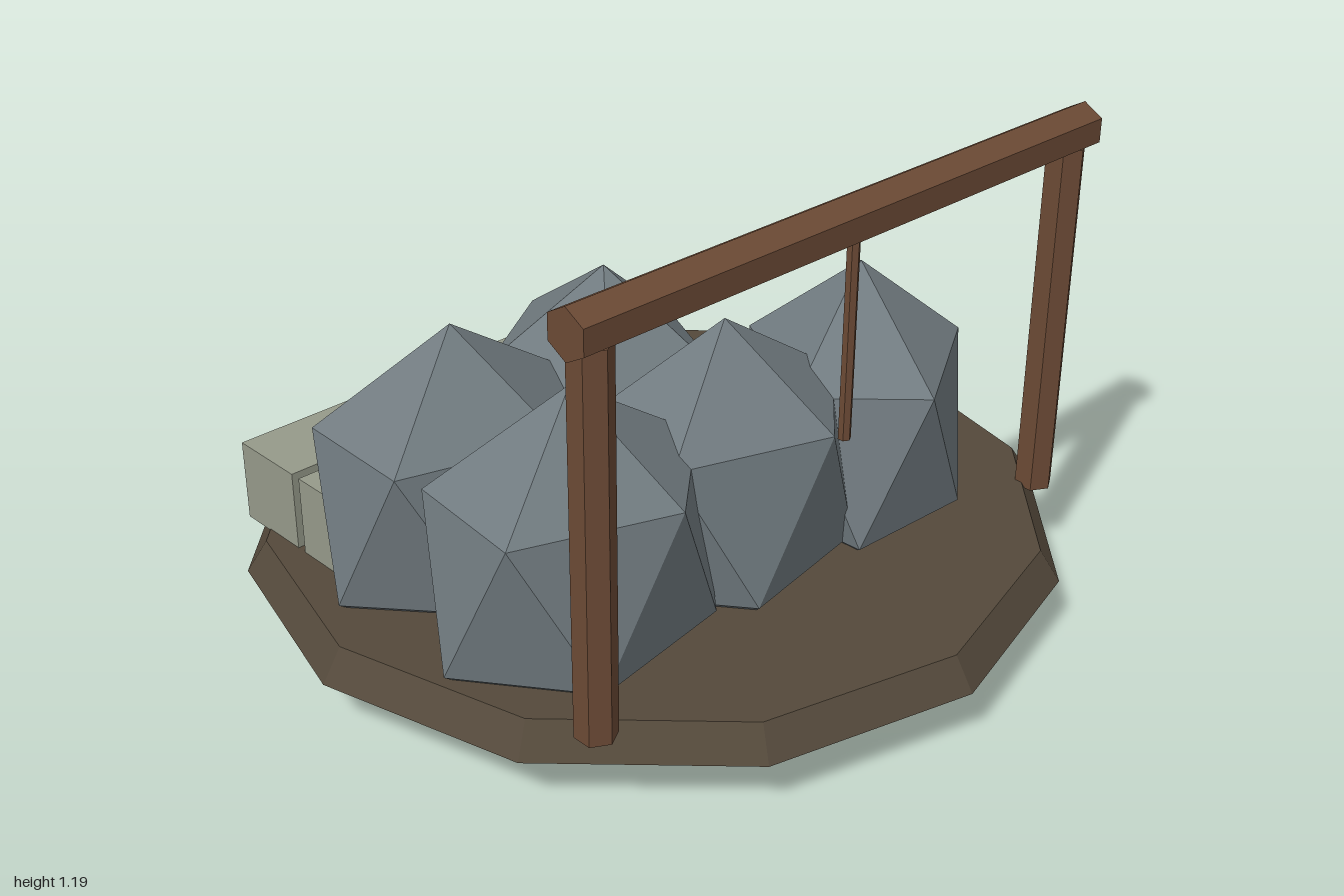
import * as THREE from 'three';

const mat = (name, color) => {
  const m = new THREE.MeshStandardMaterial({ color });
  m.name = name;
  return m;
};

// Faceted cylinder with hard edges
function facetedCylinder(top, bottom, height, sides) {
  const g = new THREE.CylinderGeometry(top, bottom, height, sides).toNonIndexed();
  g.computeVertexNormals();
  return g;
}

export function createModel() {
  const model = new THREE.Group();
  model.name = 'stoneYard';
  const earth = mat('earth brown', 0x54493b);
  const wood = mat('timber brown', 0x6b4a35);
  const stone = mat('boulder grey', 0x717b80);
  const cut = mat('cut stone', 0x969a8a);

  const add = (name, geometry, material, x, y, z, parent = model) => {
    const mesh = new THREE.Mesh(geometry, material);
    mesh.name = name;
    mesh.position.set(x, y, z);
    parent.add(mesh);
    return mesh;
  };

  // Twelve-sided ground disc with a bevelled rim
  add('ground', facetedCylinder(0.95, 1, 0.077, 12), earth, 0, 0.1735, 0);

  // Boulders: icosahedra standing on a point, stretched along one axis
  const rock = new THREE.IcosahedronGeometry(1, 0);
  rock.rotateZ(Math.atan(2 / (1 + Math.sqrt(5))));
  rock.rotateY(Math.PI);
  rock.scale(0.381, 0.41, 0.302);
  const boulders = new THREE.Group();
  boulders.name = 'boulders';
  model.add(boulders);
  [
    [-0.53, 0.3, -6], [-0.07, 0.3, -5], [0.39, 0.3, 45],
    [-0.53, -0.1, -2], [-0.07, -0.1, 80],
  ].forEach(([x, z, turn]) => {
    add('boulder', rock, stone, x, 0.41, z, boulders).rotation.y = THREE.MathUtils.degToRad(turn);
  });

  // Two rows of cut blocks at the back
  const block = new THREE.BoxGeometry(0.325, 0.205, 0.208);
  const blocks = new THREE.Group();
  blocks.name = 'cutBlocks';
  model.add(blocks);
  for (const z of [-0.5, -0.265]) {
    for (const x of [-0.622, -0.232, 0.158]) add('cutBlock', block, cut, x, 0.31, z, blocks);
  }

  // Hoist frame: two posts, a crossbeam and a hanging rope
  const frame = new THREE.Group();
  frame.name = 'hoistFrame';
  model.add(frame);
  const post = facetedCylinder(0.048, 0.048, 0.9, 6);
  for (const side of [-1, 1]) add('post', post, wood, side * 0.74, 0.65, 0.603, frame);

  const beam = facetedCylinder(0.058, 0.058, 1.6, 6);
  beam.rotateY(Math.PI / 2); // puts a ridge on top once laid down
  beam.rotateZ(Math.PI / 2);
  add('crossbeam', beam, wood, 0, 1.134, 0.603, frame);
  add('rope', facetedCylinder(0.015, 0.015, 0.5, 6), wood, 0, 0.86, 0.603, frame);

  return model;
}
